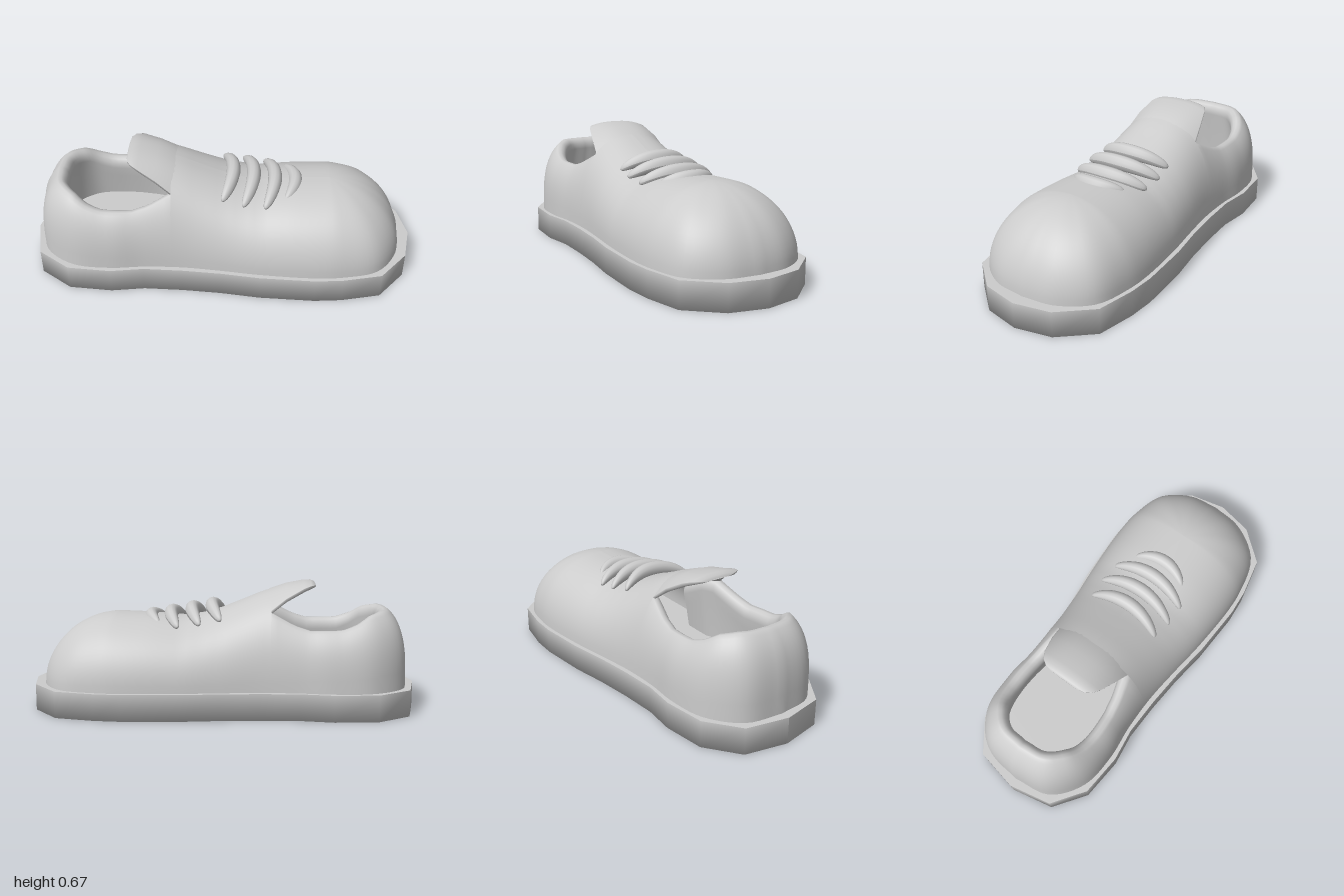
import * as THREE from 'three';

const material = new THREE.MeshStandardMaterial({ color: 0xcccccc, side: THREE.DoubleSide });
const BASE = 0.135; // height of the sole

// Half outlines, heel to toe: [x, half width]
const SOLE = [[-1, 0], [-0.955, 0.22], [-0.79, 0.34], [-0.57, 0.36], [-0.4, 0.338], [-0.2, 0.345], [0, 0.362],
  [0.2, 0.39], [0.48, 0.405], [0.62, 0.395], [0.82, 0.353], [0.96, 0.19], [1, 0]];
const UPPER = [[-0.955, 0], [-0.92, 0.19], [-0.77, 0.31], [-0.57, 0.335], [-0.4, 0.32], [-0.2, 0.32], [0, 0.34],
  [0.2, 0.365], [0.48, 0.382], [0.62, 0.372], [0.8, 0.32], [0.91, 0.17], [0.935, 0]];

// Values along the length: ridge height, collar height, collar inset, roundness
const RIDGE = [[-0.27, 0.625], [-0.2, 0.602], [-0.1, 0.56], [0, 0.52], [0.1, 0.49], [0.2, 0.475], [0.35, 0.488], [0.55, 0.495]];
const RIM_Y = [[-0.955, 0.525], [-0.9, 0.525], [-0.8, 0.507], [-0.7, 0.465], [-0.6, 0.438], [-0.45, 0.435],
  [-0.37, 0.46], [-0.25, 0.522], [-0.19, 0.518], [0, 0.43]];
const RIM_F = [[-0.955, 0.69], [-0.8, 0.73], [-0.7, 0.76], [-0.6, 0.78], [-0.45, 0.79], [-0.37, 0.765], [-0.25, 0.667], [-0.19, 0.6]];
const ROUND = [[-0.955, 0.64], [-0.5, 0.65], [-0.25, 0.87], [0, 0.9], [0.6, 0.92], [0.85, 1.02]];

function lookup(table, x) {
  if (x <= table[0][0]) return table[0][1];
  for (let i = 1; i < table.length; i++) {
    const [x0, v0] = table[i - 1], [x1, v1] = table[i];
    if (x <= x1) return v0 + (v1 - v0) * (x - x0) / (x1 - x0);
  }
  return table[table.length - 1][1];
}

const spineX = (x) => THREE.MathUtils.clamp(x, -0.62, 0.55);
const pow = (v, n) => Math.pow(Math.max(v, 0), n);
const mirror = (points) => points.map(([x, z]) => [x, -z]).reverse();

// Skin over rows of points
function loft(rows) {
  const n = rows[0].length, index = [];
  for (let i = 0; i < rows.length - 1; i++) {
    for (let j = 0; j < n - 1; j++) {
      const a = i * n + j, b = a + n;
      index.push(a, b, a + 1, b, b + 1, a + 1);
    }
  }
  const geometry = new THREE.BufferGeometry();
  geometry.setAttribute('position', new THREE.Float32BufferAttribute(rows.flat(2), 3));
  geometry.setIndex(index);
  geometry.computeVertexNormals();
  return geometry;
}

function addMesh(group, name, geometry) {
  const mesh = new THREE.Mesh(geometry, material);
  mesh.name = name;
  group.add(mesh);
  return mesh;
}

// Flat horizontal plate with a full closed outline
function plateGeometry(half, scale) {
  const outline = [...half, ...mirror(half).slice(1, -1)];
  const shape = new THREE.Shape(outline.map(([x, z]) => new THREE.Vector2(x * scale, z * scale)));
  return new THREE.ShapeGeometry(shape).rotateX(-Math.PI / 2);
}

// Side and underside of the sole, softly shaded over the lower edge
function soleRow([x, z]) {
  const c = spineX(x);
  const under = [1, 0.65, 0].map((k) => [c + (x - c) * k, 0, z * k]);
  return [[x, BASE, z], ...under];
}

// Outer arch of the upper, from the sole edge to the ridge
function vampRow([x, z]) {
  const row = [], c = spineX(x), n = lookup(ROUND, x), top = lookup(RIDGE, c);
  for (let j = 0; j <= 18; j++) {
    const a = (j / 18) * Math.PI / 2;
    const k = j === 18 ? 0 : pow(Math.cos(a), n);
    row.push([c + (x - c) * k, BASE + (top - BASE) * pow(Math.sin(a), n), z * k]);
  }
  return row;
}

// Heel wall: up the outside, over the padded rim and down the lining
function collarRow([x, z]) {
  const row = [], c = spineX(x), n = lookup(ROUND, x), f = lookup(RIM_F, x), rim = lookup(RIM_Y, x);
  const end = Math.acos(pow(f, 1 / n));
  for (let j = 0; j <= 12; j++) {
    const a = (j / 12) * end, k = pow(Math.cos(a), n);
    row.push([c + (x - c) * k, BASE + (rim - BASE) * pow(Math.sin(a) / Math.sin(end), n), z * k]);
  }
  const length = Math.hypot(x - c, z);
  for (const [inset, drop] of [[0.02, 0], [0.037, 0.01], [0.048, 0.03], [0.05, 0.06], [0.035, 0.12], [0.01, 0.34]]) {
    const k = f - inset / length;
    row.push([c + (x - c) * k, Math.max(rim - drop, 0.18), z * k]);
  }
  return row;
}

// Height of the vamp at a point
function vampY(x, z) {
  const n = lookup(ROUND, x), c = pow(Math.abs(z) / lookup(UPPER, x), 1 / n);
  return BASE + (lookup(RIDGE, x) - BASE) * pow(Math.sqrt(Math.max(0, 1 - c * c)), n);
}

function tongueGeometry() {
  // [x, top, half width, edge drop, thickness]
  const stations = [[-0.482, 0.645, 0.07, 0.004, 0.004], [-0.475, 0.658, 0.115, 0.01, 0.022], [-0.455, 0.665, 0.145, 0.018, 0.035],
    [-0.42, 0.664, 0.168, 0.028, 0.045], [-0.33, 0.648, 0.195, 0.062, 0.055], [-0.25, 0.62, 0.212, 0.098, 0.055], [-0.15, 0.568, 0.2, 0.1, 0.04]];
  return loft(stations.map(([x, top, w, drop, thick]) => {
    const row = [];
    for (let j = 0; j <= 32; j++) {
      const a = (j / 32) * Math.PI * 2, k = Math.cos(a);
      const under = Math.sin(a) < 0 ? thick * pow(-Math.sin(a), 0.7) : 0;
      row.push([x, top - drop * pow(Math.abs(k), 2.6) - under, w * k]);
    }
    return row;
  }));
}

function laceGeometry(x, top, halfWidth) {
  const rows = [];
  for (let i = 0; i <= 24; i++) {
    const k = -Math.cos((i / 24) * Math.PI), r = 0.036 * pow(1 - k * k, 0.38);
    const px = x - 0.05 * k * k, z = k * halfWidth;
    const y = vampY(x, z) - lookup(RIDGE, x) + top - 0.04;
    const row = [];
    for (let j = 0; j <= 12; j++) {
      const a = (j / 12) * Math.PI * 2;
      row.push([px + Math.cos(a) * r, y + Math.sin(a) * r * 1.1, z]);
    }
    rows.push(row);
  }
  return loft(rows);
}

export function createModel() {
  const shoe = new THREE.Group();
  shoe.name = 'shoe';

  // Sole slab
  addMesh(shoe, 'sole', loft([...SOLE, ...mirror(SOLE).slice(1)].map(soleRow)));
  addMesh(shoe, 'soleTop', plateGeometry(SOLE, 1)).position.y = BASE;

  // Smooth outline of the upper, split between vamp and heel collar
  const curve = new THREE.CatmullRomCurve3(UPPER.map(([x, z]) => new THREE.Vector3(x, 0, z)), false, 'centripetal');
  const half = curve.getSpacedPoints(72).map((p) => [p.x, p.z]);
  const front = half.filter(([x]) => x > -0.26);
  const rear = half.filter(([x]) => x < 0);
  addMesh(shoe, 'vamp', loft([...front, ...mirror(front).slice(1)].map(vampRow)));
  addMesh(shoe, 'heelCollar', loft([...mirror(rear), ...rear.slice(1)].map(collarRow)));

  // Inner floor
  addMesh(shoe, 'insole', plateGeometry(UPPER, 0.88)).position.y = 0.19;

  // Tongue
  addMesh(shoe, 'tongue', tongueGeometry());

  // Laces
  const laces = new THREE.Group();
  laces.name = 'laces';
  for (const [x, top, w] of [[0.055, 0.572, 0.2], [0.16, 0.553, 0.215], [0.27, 0.533, 0.21], [0.375, 0.516, 0.15]]) {
    addMesh(laces, 'lace', laceGeometry(x, top, w));
  }
  shoe.add(laces);
  return shoe;
}
